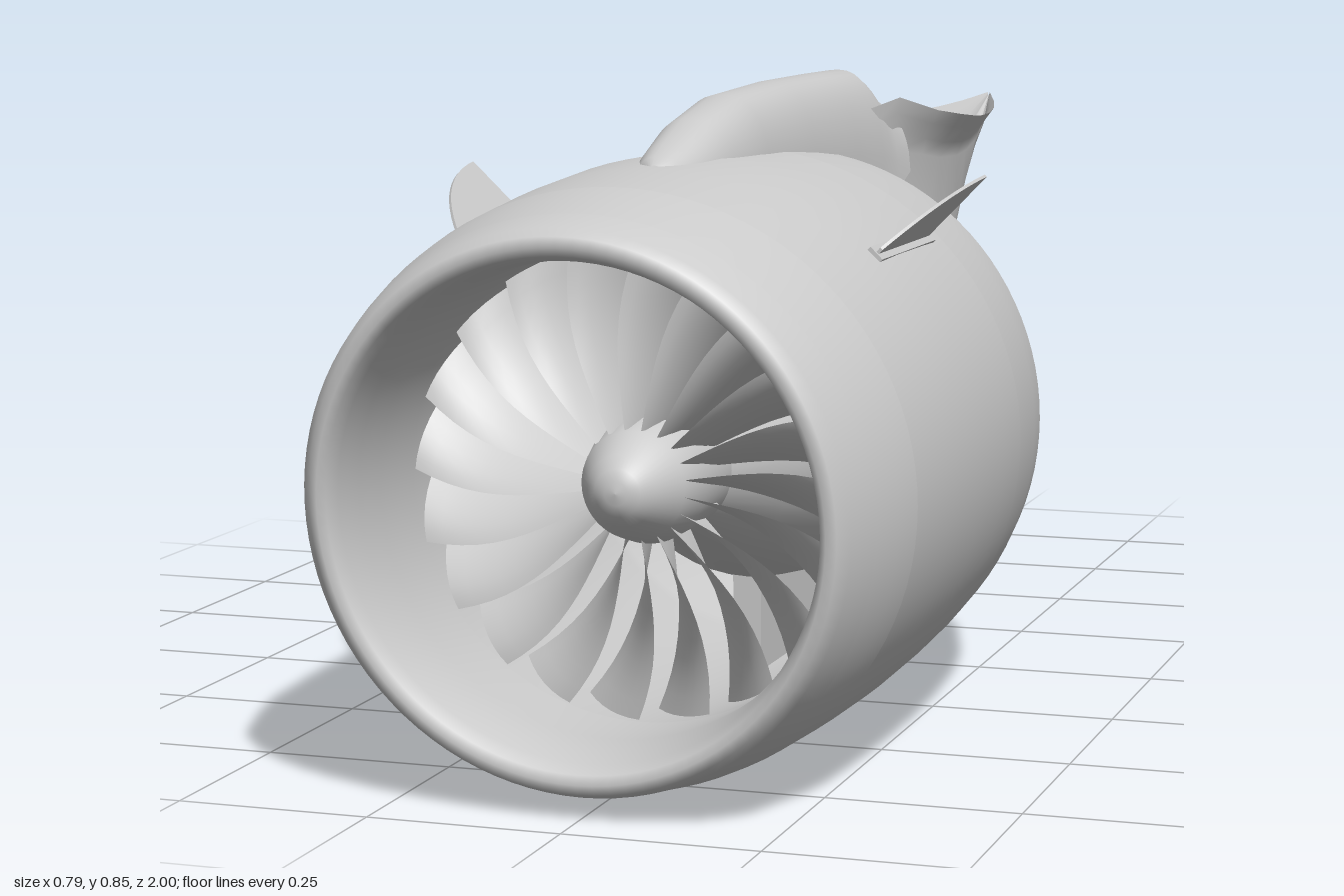
import * as THREE from 'three';

const AXIS_Y = 0.375;
const SEG = 96;
const grey = new THREE.MeshStandardMaterial({ color: 0xcccccc, side: THREE.DoubleSide });

const clamp01 = (v) => Math.min(1, Math.max(0, v));
const smooth = (v) => { const t = clamp01(v); return t * t * (3 - 2 * t); };
const range = (a, b, n) => Array.from({ length: n + 1 }, (_, i) => a + (b - a) * i / n);

function mesh(name, geometry) {
  const m = new THREE.Mesh(geometry, grey);
  m.name = name;
  return m;
}

// Skin over rows of points; closed rows wrap around
function loft(rows, closed = false) {
  const n = rows[0].length, pos = [], idx = [];
  rows.forEach((r) => r.forEach((p) => pos.push(...p)));
  for (let i = 0; i < rows.length - 1; i++) {
    for (let j = 0; j < (closed ? n : n - 1); j++) {
      const a = i * n + j, b = i * n + (j + 1) % n;
      idx.push(a, a + n, b, b, a + n, b + n);
    }
  }
  const g = new THREE.BufferGeometry();
  g.setAttribute('position', new THREE.Float32BufferAttribute(pos, 3));
  g.setIndex(idx);
  g.computeVertexNormals();
  return g;
}

// Body turned about the engine axis, from [z, radius] pairs
function turned(name, profile, segments = 48) {
  const pts = profile.map(([z, r]) => new THREE.Vector2(r, z));
  const m = mesh(name, new THREE.LatheGeometry(pts, segments).rotateX(Math.PI / 2));
  m.position.y = AXIS_Y;
  return m;
}

// Linear lookup in a table sorted by falling z
function sample(table, z) {
  let i = 0;
  while (i < table.length - 2 && z < table[i + 1][0]) i++;
  const a = table[i], b = table[i + 1], t = clamp01((a[0] - z) / (a[0] - b[0]));
  return a.map((v, k) => v + (b[k] - v) * t);
}

// Nacelle shape: z, centre y, vertical radius, horizontal radius
const OUTER = [
  [1.0, 0.371, 0.325, 0.32], [0.995, 0.371, 0.338, 0.332], [0.98, 0.372, 0.346, 0.345], [0.93, 0.374, 0.356, 0.36],
  [0.87, 0.377, 0.365, 0.374], [0.81, 0.38, 0.371, 0.384], [0.68, 0.383, 0.38, 0.392], [0.55, 0.385, 0.385, 0.395],
  [0.43, 0.385, 0.383, 0.394], [0.33, 0.385, 0.38, 0.39], [0.2, 0.382, 0.373, 0.377], [0.1, 0.38, 0.365, 0.36],
  [0.02, 0.376, 0.352, 0.337], [-0.07, 0.372, 0.332, 0.312], [-0.15, 0.371, 0.313, 0.29], [-0.22, 0.371, 0.293, 0.27],
];
const INNER = [
  [1.0, 0.371, 0.325, 0.32], [0.992, 0.371, 0.314, 0.311], [0.97, 0.372, 0.306, 0.305], [0.92, 0.373, 0.301, 0.3],
  [0.84, 0.375, 0.301, 0.3], [0.72, 0.375, 0.305, 0.305], [0.33, 0.378, 0.335, 0.335], [0.1, 0.376, 0.338, 0.334],
  [-0.07, 0.372, 0.32, 0.3], [-0.15, 0.371, 0.305, 0.282], [-0.22, 0.371, 0.288, 0.265],
];

// Trailing edge runs further aft at the top and bottom
function trailingEdge(a) {
  const top = Math.min(a, 2 * Math.PI - a);
  return -0.07 - 0.14 * smooth((0.5 - top) / 0.25) - 0.15 * smooth((0.55 - (Math.PI - top)) / 0.25);
}

function nacelleRow(table, z) {
  return Array.from({ length: SEG }, (_, j) => {
    const a = j / SEG * 2 * Math.PI;
    const zz = z < 0.1 ? 0.1 + (z - 0.1) * (0.1 - trailingEdge(a)) / 0.17 : z;
    const [, cy, ry, rx] = sample(table, zz);
    const y = cy + ry * Math.cos(a);
    const slant = 0.05 * (0.71 - y) / 0.68 * clamp01((zz - 0.81) / 0.12);
    return [rx * Math.sin(a), y, zz - slant];
  });
}

function nacelle() {
  const g = new THREE.Group();
  g.name = 'nacelle';
  const rows = (table, hi, lo) => table.filter((s) => s[0] <= hi && s[0] >= lo).map((s) => nacelleRow(table, s[0]));
  const aft = range(0.1, -0.07, 8);
  const aftRows = (table) => aft.map((z) => nacelleRow(table, z));
  const lip = [...rows(OUTER, 1, 0.93).reverse(), ...rows(INNER, 0.995, 0.72)];
  g.add(mesh('inletLip', loft(lip, true)));
  g.add(mesh('inletCowl', loft(rows(OUTER, 0.93, 0.81), true)));
  g.add(mesh('fanCowl', loft(rows(OUTER, 0.81, 0.33), true)));
  g.add(mesh('rearCowl', loft([...rows(OUTER, 0.33, 0.11), ...aftRows(OUTER)], true)));
  g.add(mesh('bypassDuct', loft([...rows(INNER, 0.72, 0.11), ...aftRows(INNER)], true)));
  g.add(mesh('trailingRim', loft([nacelleRow(OUTER, -0.07), nacelleRow(INNER, -0.07)], true)));
  return g;
}

// Twisted, swept blades around the spinner
function fan() {
  const g = new THREE.Group();
  g.name = 'fan';
  g.position.set(0, AXIS_Y, 0.69);
  const count = 20;
  const blade = loft(range(0, 1, 10).map((t) => {
    const r = 0.07 + 0.232 * t;
    const width = 0.97 * 2 * Math.PI / count;
    const depth = 0.11 - 0.045 * t;
    return range(-0.5, 0.5, 6).map((s) => {
      const a = Math.PI / 2 - 0.16 * t + 0.05 * Math.sin(t * Math.PI) + s * width;
      const z = s * depth + 0.012 * (1 - 4 * s * s);
      return [r * Math.cos(a), r * Math.sin(a), z];
    });
  }));
  for (let i = 0; i < count; i++) {
    const b = mesh('fanBlade', blade);
    b.rotation.z = i / count * 2 * Math.PI;
    g.add(b);
  }
  return g;
}

// Rounded fairing lying along the top of the nacelle: z, top y, half width, base y
function fairing() {
  const stations = [
    [0.66, 0.765, 0.012, 0.74], [0.64, 0.775, 0.032, 0.73], [0.6, 0.788, 0.045, 0.72], [0.52, 0.815, 0.055, 0.72],
    [0.4, 0.838, 0.06, 0.72], [0.2, 0.845, 0.062, 0.71], [0, 0.845, 0.063, 0.69], [-0.12, 0.844, 0.064, 0.67],
    [-0.15, 0.832, 0.066, 0.67], [-0.18, 0.812, 0.068, 0.67], [-0.22, 0.794, 0.072, 0.69],
  ];
  return mesh('pylonFairing', loft(stations.map(([z, top, w, base]) => range(0, Math.PI, 20).map((a) => {
    const c = Math.cos(a), s = Math.max(0, Math.sin(a));
    return [w * Math.sign(c) * Math.abs(c) ** 0.8 * (1 + 0.15 * (1 - s)), base + (top - base) * s ** 0.7, z];
  }))));
}

// Open-topped pylon shell: z, then y and half width at rim, waist and keel
function pylon() {
  const stations = [
    [0.3, 0.70, 0.01, 0.66, 0.01, 0.50, 0.01],
    [0.1, 0.72, 0.045, 0.66, 0.045, 0.50, 0.05],
    [-0.1, 0.79, 0.058, 0.70, 0.06, 0.48, 0.085],
    [-0.2, 0.80, 0.072, 0.72, 0.065, 0.45, 0.09],
    [-0.35, 0.772, 0.09, 0.705, 0.065, 0.425, 0.08],
    [-0.48, 0.758, 0.092, 0.69, 0.055, 0.41, 0.05],
    [-0.57, 0.75, 0.088, 0.685, 0.047, 0.43, 0.034],
    [-0.65, 0.745, 0.08, 0.68, 0.038, 0.47, 0.02],
    [-0.76, 0.742, 0.064, 0.68, 0.024, 0.575, 0.01],
    [-0.85, 0.744, 0.048, 0.69, 0.016, 0.67, 0.005],
    [-0.93, 0.75, 0.027, 0.718, 0.01, 0.708, 0.003],
    [-1.0, 0.76, 0.002, 0.757, 0.001, 0.755, 0],
  ];
  return mesh('pylon', loft(stations.map(([z, yt, wt, ym, wm, yb, wb]) => {
    const side = [
      [wt, yt], [wm + (wt - wm) * 0.62, yt - (yt - ym) * 0.3], [wm + (wt - wm) * 0.22, yt - (yt - ym) * 0.65],
      [wm, ym], [wm, ym + (yb - ym) * 0.45], [wb, yb + (ym - yb) * 0.08], [wb * 0.8, yb],
    ];
    return [...side.map(([x, y]) => [x, y, z]), ...side.reverse().map(([x, y]) => [-x, y, z])];
  })));
}

// Thin fin with a base strip, standing out at 45 degrees
function strake(side) {
  const g = new THREE.Group();
  g.name = side > 0 ? 'leftStrake' : 'rightStrake';
  const s = new THREE.Shape();
  s.moveTo(-0.62, 0.37);
  s.lineTo(-0.62, 0.4);
  s.quadraticCurveTo(-0.54, 0.49, -0.395, 0.505);
  s.lineTo(-0.385, 0.37);
  const fin = new THREE.ExtrudeGeometry(s, { depth: 0.004, bevelEnabled: false });
  fin.translate(0, 0, -0.002).rotateY(Math.PI / 2);
  g.add(mesh('strakeFin', fin));
  const base = mesh('strakeBase', new THREE.BoxGeometry(0.022, 0.02, 0.25));
  base.position.set(0, 0.383, 0.5);
  g.add(base);
  g.position.y = 0.383;
  g.rotation.z = -side * Math.PI / 4;
  return g;
}

export function createModel() {
  const model = new THREE.Group();
  model.name = 'turbofanEngine';
  model.add(nacelle(), fan(), fairing(), pylon(), strake(1), strake(-1));

  // Rotating nose and hub
  model.add(turned('spinner', [[0.6, 0.08], [0.7, 0.081], [0.745, 0.068], [0.785, 0.045], [0.8, 0.03], [0.806, 0.015], [0.808, 0]]));

  // Core body, nozzle and exhaust plug
  model.add(turned('coreCowl', [[-0.27, 0.16], [-0.27, 0.172], [-0.19, 0.192], [-0.11, 0.209], [-0.07, 0.213], [0.1, 0.225], [0.3, 0.2], [0.48, 0.13], [0.6, 0.08]]));
  model.add(turned('coreNozzle', [[-0.2, 0.125], [-0.34, 0.131], [-0.34, 0.138], [-0.27, 0.161]]));
  model.add(turned('exhaustPlug', [[-0.565, 0], [-0.565, 0.026], [-0.56, 0.03], [-0.45, 0.068], [-0.34, 0.108], [-0.2, 0.125]]));
  model.add(turned('ventTube', [[-0.56, 0.008], [-0.595, 0.008], [-0.595, 0.013], [-0.56, 0.013]], 16));

  // Lower wall joining core and nacelle
  const wall = mesh('lowerDuctWall', new THREE.BoxGeometry(0.04, 0.15, 0.38));
  wall.position.set(0, 0.12, 0.11);
  model.add(wall);
  return model;
}
